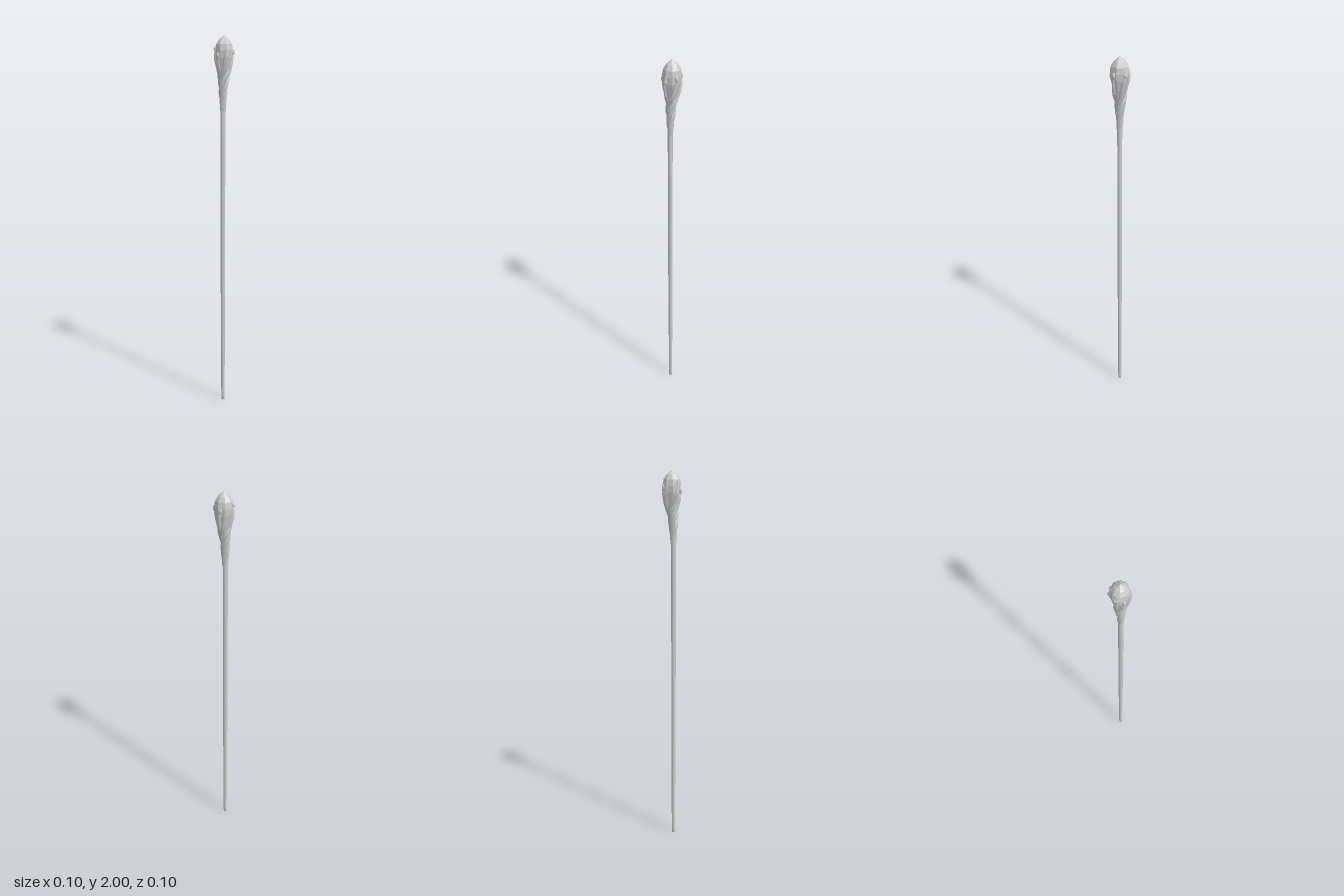
import * as THREE from 'three';

const V = (x, y, z) => new THREE.Vector3(x, y, z);
const lerp = THREE.MathUtils.lerp;

// Outline of the wrapped head: [height, radius]
const OUTLINE = [[1.6, 0.015], [1.68, 0.017], [1.75, 0.022], [1.8, 0.029], [1.85, 0.041],
  [1.89, 0.05], [1.93, 0.051], [1.955, 0.043], [1.975, 0.028], [2, 0.004]];

function outline(y) {
  let i = 0;
  while (i < OUTLINE.length - 2 && y > OUTLINE[i + 1][0]) i++;
  const [a, b] = [OUTLINE[i], OUTLINE[i + 1]];
  return lerp(a[1], b[1], (y - a[0]) / (b[0] - a[0]));
}

// The shaft sits slightly off the axis; the neck leads back to the centre
function axis(y) {
  const k = 1 - THREE.MathUtils.smoothstep(y, 1.65, 1.88);
  return [-0.008 * k, 0.004 * k];
}

// Twist is tight at the neck and almost straight over the bulb
function twist(y) {
  return y < 1.82 ? (y - 1.82) * 24 : (y - 1.82) * 4.5;
}

// Tube whose radius follows a function of its length
function taperedTube(points, radiusAt, segments, sides) {
  const curve = new THREE.CatmullRomCurve3(points);
  const geo = new THREE.TubeGeometry(curve, segments, 1, sides);
  const pos = geo.attributes.position;
  for (let i = 0; i <= segments; i++) {
    const c = curve.getPointAt(i / segments);
    const r = radiusAt(i / segments);
    for (let j = 0; j <= sides; j++) {
      const k = i * (sides + 1) + j;
      const p = V(0, 0, 0).fromBufferAttribute(pos, k).sub(c).multiplyScalar(r).add(c);
      pos.setXYZ(k, p.x, p.y, p.z);
    }
  }
  geo.computeVertexNormals();
  return geo;
}

export function createModel() {
  const group = new THREE.Group();
  const wood = new THREE.MeshStandardMaterial({ color: 0xcccccc, side: THREE.DoubleSide });
  const facet = new THREE.MeshStandardMaterial({ color: 0xcccccc, flatShading: true });
  const add = (name, geo, mat = wood) => {
    const m = new THREE.Mesh(geo, mat);
    m.name = name;
    group.add(m);
    return m;
  };

  // Long, slightly tapering shaft
  const shaft = add('shaft', new THREE.LatheGeometry([[0, 0], [0.008, 0], [0.0095, 0.03], [0.0105, 0.3],
    [0.0125, 0.8], [0.0125, 1.3], [0.013, 1.72], [0, 1.74]].map(p => new THREE.Vector2(...p)), 10));
  shaft.position.set(-0.008, 0, 0.004);

  // Faceted pointed crystal
  add('crystal', new THREE.LatheGeometry([[0, 1.7], [0.013, 1.73], [0.022, 1.79], [0.036, 1.85], [0.045, 1.89],
    [0.047, 1.925], [0.042, 1.955], [0.028, 1.977], [0, 2]].map(p => new THREE.Vector2(...p)), 8), facet);

  // Roots twisting up the neck and gripping the crystal:
  // [angle over the bulb, start height, end height, thickness]
  const roots = [
    [-0.45, 1.61, 1.976, 0.009],
    [0.85, 1.63, 1.92, 0.011],
    [2.15, 1.66, 1.945, 0.011],
    [2.75, 1.62, 1.97, 0.009],
    [-2.15, 1.65, 1.94, 0.011],
    [-1.35, 1.62, 1.925, 0.012],
  ];
  roots.forEach(([angle, y0, y1, thick], n) => {
    const points = [];
    for (let i = 0; i <= 22; i++) {
      const y = lerp(y0, y1, i / 22);
      const a = angle + twist(y);
      const r = outline(y) - thick * 0.6 + 0.001 * Math.sin(i * 0.9 + n);
      const [cx, cz] = axis(y);
      points.push(V(cx + r * Math.sin(a), y, cz + r * Math.cos(a)));
    }
    const radius = t => thick * (0.25 + 0.75 * Math.sin(Math.PI * Math.min(1, t * 0.75 + 0.12)) ** 0.8)
      * (t > 0.8 ? lerp(1, 0.3, (t - 0.8) / 0.2) : 1);
    add('root', taperedTube(points, radius, 60, 8));
  });

  // Curled tendril on one shoulder of the crystal
  const curl = [];
  for (let i = 0; i <= 20; i++) {
    const t = i / 20;
    const a = t * Math.PI * 3.2;
    const r = lerp(0.011, 0.002, t);
    curl.push(V(r * Math.cos(a), r * 1.4 * Math.sin(a), 0.004 * t));
  }
  const tendril = add('tendril', taperedTube(curl, t => lerp(0.0045, 0.002, t), 48, 6));
  tendril.position.set(-0.043, 1.935, -0.013);
  tendril.rotation.set(-0.5, -1.87, 0, 'YXZ');

  // Small knots on the bulb: [angle, height, size]
  [[1.25, 1.915, 0.009], [2.6, 1.915, 0.009], [-1.1, 1.9, 0.009], [0, 1.9, 0.008]].forEach(([a, y, s]) => {
    const knot = add('knot', new THREE.SphereGeometry(s, 10, 8));
    const r = outline(y) - s * 0.7;
    knot.position.set(r * Math.sin(a), y, r * Math.cos(a));
    knot.scale.y = 1.8;
  });
  return group;
}
